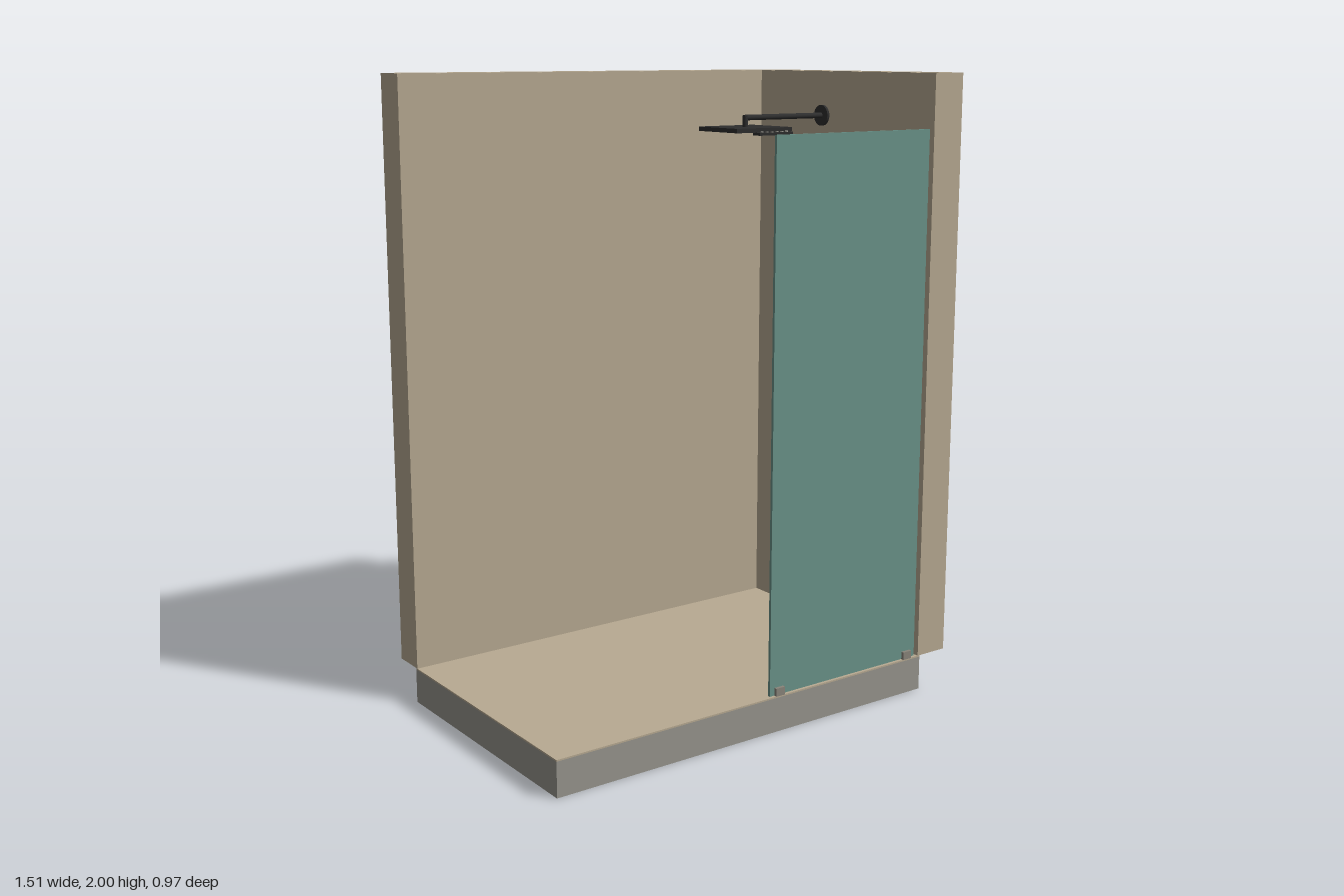
import * as THREE from 'three';

const mat = (name, color) => {
  const m = new THREE.MeshStandardMaterial({ color });
  m.name = name;
  return m;
};

export function createModel() {
  const group = new THREE.Group();
  const tile = mat('beige tile', 0xb8aa92);
  const stone = mat('grey base', 0x97958d);
  const glass = mat('green glass', 0x6a9389);
  const black = mat('black metal', 0x2e2e2e);
  const clampGrey = mat('clamp metal', 0x8a857b);
  const nozzleGrey = mat('nozzle grey', 0xa8a59c);

  const add = (name, geometry, material, x = 0, y = 0, z = 0) => {
    const mesh = new THREE.Mesh(geometry, material);
    mesh.name = name;
    mesh.position.set(x, y, z);
    group.add(mesh);
    return mesh;
  };
  // box given by its limits on each axis
  const box = (name, material, [x0, x1], [y0, y1], [z0, z1]) =>
    add(name, new THREE.BoxGeometry(x1 - x0, y1 - y0, z1 - z0), material,
      (x0 + x1) / 2, (y0 + y1) / 2, (z0 + z1) / 2);
  // cylinder lying along x
  const rodX = (name, material, r, x0, x1, y, z) =>
    add(name, new THREE.CylinderGeometry(r, r, x1 - x0, 32).rotateZ(Math.PI / 2),
      material, (x0 + x1) / 2, y, z);

  // floor base with a tiled top
  box('floorBase', stone, [-0.755, 0.645], [0, 0.111], [-0.38, 0.482]);
  box('floorTile', tile, [-0.755, 0.645], [0.111, 0.116], [-0.38, 0.482]);

  // two walls, each with a thin tiled inner face
  box('backWall', tile, [-0.755, 0.645], [0.116, 2], [-0.484, -0.38]);
  box('backWallTile', tile, [-0.755, 0.637], [0.116, 1.999], [-0.38, -0.372]);
  box('sideWall', tile, [0.647, 0.753], [0.116, 2], [-0.38, 0.482]);
  box('sideWallTile', tile, [0.637, 0.647], [0.116, 1.999], [-0.38, 0.482]);

  // glass screen held by two floor clamps
  box('glassScreen', glass, [0.02, 0.626], [0.117, 1.83], [0.465, 0.474]);
  for (const x of [0.055, 0.588]) {
    for (const z of [0.46, 0.479]) {
      box('glassClamp', clampGrey, [x - 0.017, x + 0.017], [0.116, 0.142], [z - 0.005, z + 0.005]);
    }
  }

  // overhead shower: wall flange, arm, drop and square head
  const z = -0.045;
  rodX('armFlange', black, 0.034, 0.628, 0.637, 1.855, z);
  rodX('showerArm', black, 0.009, 0.305, 0.63, 1.855, z);
  add('armDrop', new THREE.CylinderGeometry(0.009, 0.009, 0.04, 24), black, 0.31, 1.842, z);
  box('showerHead', black, [0.198, 0.42], [1.812, 1.826], [-0.145, 0.057]);

  // narrow nozzle lip along the head's front edge
  box('nozzleLip', black, [0.275, 0.41], [1.803, 1.812], [0.04, 0.076]);
  for (let i = 0; i < 6; i++) {
    add('nozzle', new THREE.CylinderGeometry(0.005, 0.005, 0.004, 12), nozzleGrey,
      0.292 + i * 0.02, 1.813, 0.065);
  }

  // mixer valve: round plate, body and lever
  rodX('valvePlate', black, 0.058, 0.62, 0.637, 1.01, z);
  rodX('valveBody', black, 0.022, 0.582, 0.622, 1.01, z);
  const lever = box('valveLever', black, [0.58, 0.594], [1.0, 1.02], [-0.04, 0.012]);
  lever.rotation.y = -0.12;

  return group;
}
